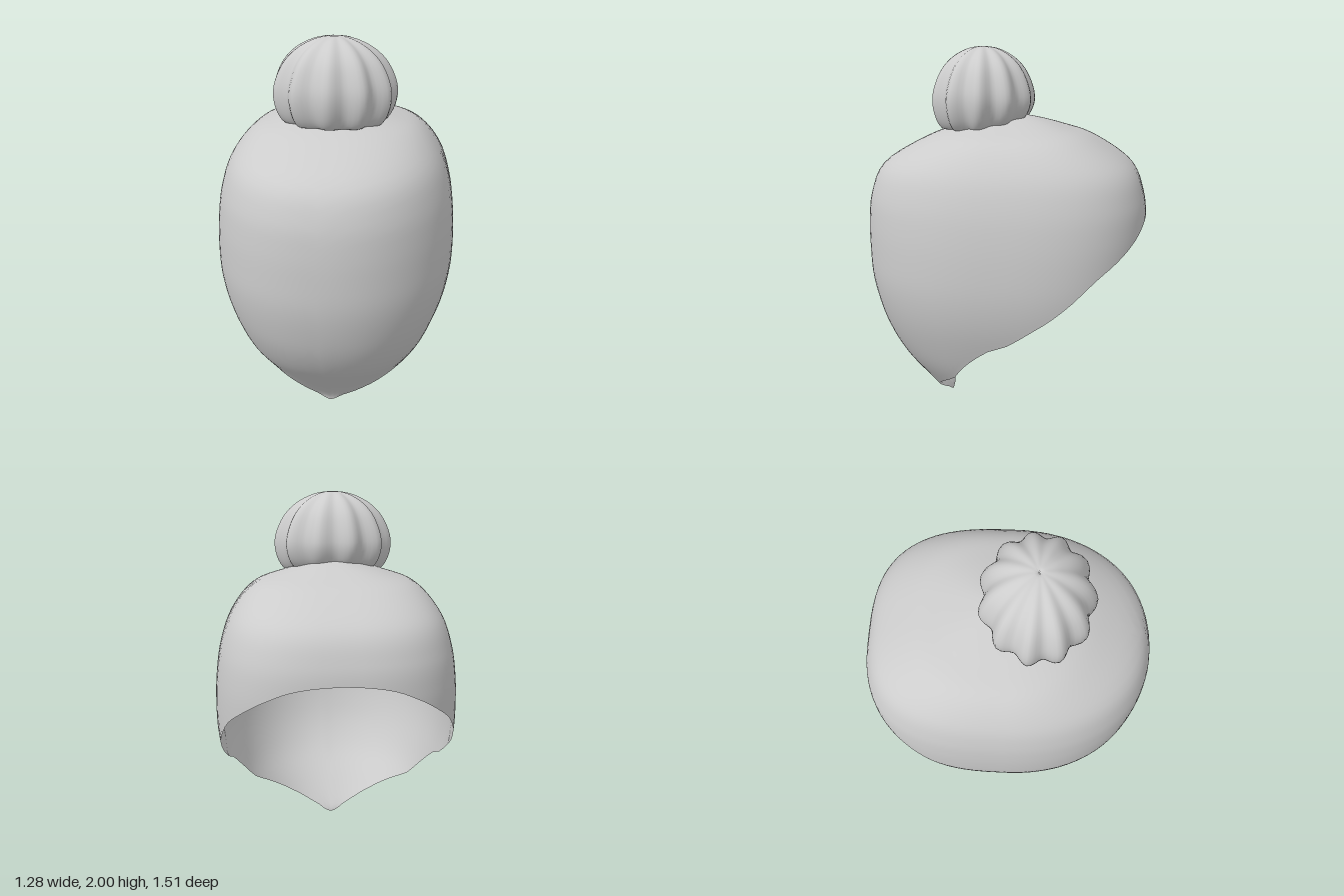
import * as THREE from 'three';

const wool = new THREE.MeshStandardMaterial({ color: 0xcccccc, side: THREE.DoubleSide });
wool.name = 'greyWool';

// Catmull-Rom interpolation of one column in a table of rows
function sample(rows, col, s) {
  const last = rows.length - 1;
  const i = Math.min(Math.floor(s), last - 1), t = s - i;
  const at = (k) => rows[Math.max(0, Math.min(last, k))][col];
  const [a, b, c, d] = [at(i - 1), at(i), at(i + 1), at(i + 2)];
  return b + 0.5 * t * (c - a + t * (2 * a - 5 * b + 4 * c - d + t * (3 * (b - c) + d - a)));
}

// Closed loft: rows run downwards, columns run round from the front towards +x
function loft(rowCount, columnCount, point) {
  const positions = [], index = [];
  for (let r = 0; r <= rowCount; r++) {
    for (let c = 0; c < columnCount; c++) {
      positions.push(...point(r / rowCount, (c / columnCount) * Math.PI * 2));
      if (r === rowCount) continue;
      const a = r * columnCount + c, d = r * columnCount + ((c + 1) % columnCount);
      const b = a + columnCount, e = d + columnCount;
      if (r > 0) index.push(a, b, d);
      index.push(b, e, d);
    }
  }
  const geometry = new THREE.BufferGeometry();
  geometry.setAttribute('position', new THREE.Float32BufferAttribute(positions, 3));
  geometry.setIndex(index);
  geometry.computeVertexNormals();
  return geometry;
}

// Hat sections from crown to tip: height, half width, front reach, back reach
const SECTIONS = [
  [1.655, 0, 0, 0], [1.64, 0.1, 0.12, 0.14], [1.59, 0.29, 0.28, 0.32], [1.53, 0.44, 0.44, 0.48],
  [1.4, 0.55, 0.66, 0.67], [1.25, 0.605, 0.735, 0.74], [1.1, 0.63, 0.755, 0.757],
  [0.95, 0.64, 0.757, 0.75], [0.8, 0.638, 0.75, 0.735], [0.65, 0.615, 0.72, 0.71],
  [0.5, 0.57, 0.67, 0.67], [0.35, 0.51, 0.585, 0.6], [0.2, 0.42, 0.46, 0.5],
  [0.05, 0.33, 0.345, 0.4], [0, 0.3, 0.33, 0.38],
];

// Rim height by angle in degrees from the front
const RIM = [[0, 0], [12, 0.05], [37, 0.15], [54, 0.23], [71, 0.315], [82, 0.44], [90, 0.53],
  [100, 0.65], [112, 0.77], [126, 0.91], [138, 0.99], [150, 1.06], [165, 1.13], [180, 1.16]];

function rimHeight(angle) {
  const deg = THREE.MathUtils.radToDeg(angle > Math.PI ? 2 * Math.PI - angle : angle);
  let i = 0;
  while (i < RIM.length - 2 && RIM[i + 1][0] < deg) i++;
  const t = (deg - RIM[i][0]) / (RIM[i + 1][0] - RIM[i][0]);
  return sample(RIM, 1, i + Math.min(1, Math.max(0, t)));
}

// Section position at which the hat reaches a given height
function sectionAt(height) {
  let low = 0, high = SECTIONS.length - 1;
  for (let k = 0; k < 30; k++) {
    const mid = (low + high) / 2;
    if (sample(SECTIONS, 0, mid) > height) low = mid; else high = mid;
  }
  return (low + high) / 2;
}

function hatPoint(v, angle) {
  const s = v * sectionAt(rimHeight(angle));
  const sin = Math.sin(angle), cos = Math.cos(angle);
  const power = cos > 0 ? 0.91 : 0.714; // the back is squarer than the front
  const bend = (n) => Math.sign(n) * Math.abs(n) ** power;
  return [
    sample(SECTIONS, 1, s) * bend(sin),
    sample(SECTIONS, 0, s),
    sample(SECTIONS, cos > 0 ? 2 : 3, s) * bend(cos),
  ];
}

// Bobble profile: height and radius
const BOBBLE = [[1.99, 0], [2.0, 0.03], [1.985, 0.11], [1.94, 0.2], [1.87, 0.27], [1.77, 0.315],
  [1.68, 0.315], [1.6, 0.28], [1.575, 0.22], [1.57, 0]];

function bobblePoint(v, angle) {
  const s = v * (BOBBLE.length - 1);
  const groove = 0.12 * (0.5 - 0.5 * Math.cos(11 * angle));
  const radius = sample(BOBBLE, 1, s) * (1 - groove);
  const y = sample(BOBBLE, 0, s);
  const z = Math.cos(angle) * radius * 0.87;
  // The underside follows the slope of the crown
  const lift = Math.max(0, (1.75 - y) / 0.18) * Math.max(0, -z) * 0.2;
  return [Math.sin(angle) * radius, y + lift, 0.13 + z];
}

export function createModel() {
  const group = new THREE.Group();
  group.name = 'bobbleHat';
  const add = (name, geometry) => {
    const mesh = new THREE.Mesh(geometry, wool);
    mesh.name = name;
    group.add(mesh);
  };
  add('hatShell', loft(48, 96, hatPoint));
  add('bobble', loft(36, 88, bobblePoint));
  return group;
}
